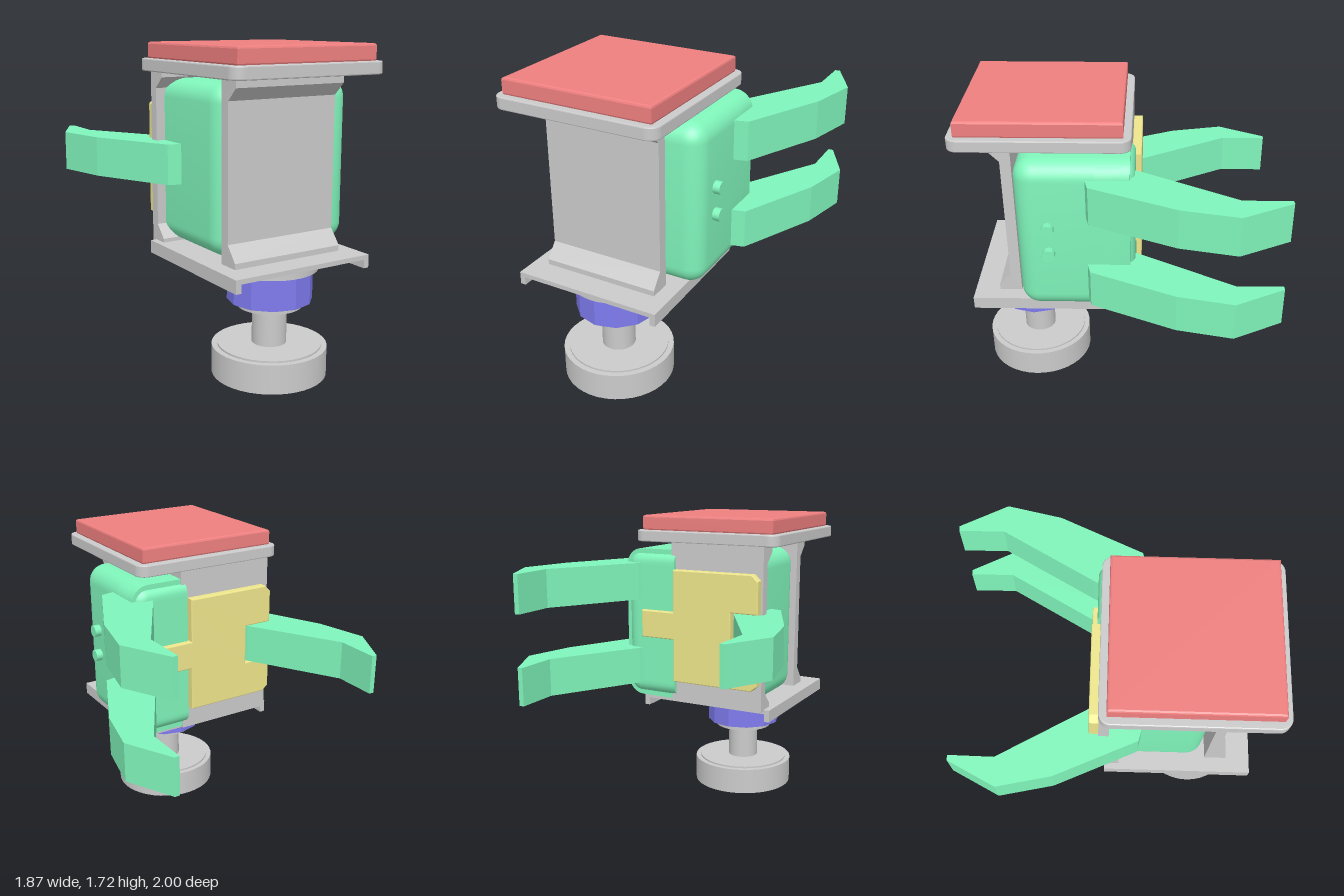
import * as THREE from 'three';
import { toCreasedNormals } from 'three/addons/utils/BufferGeometryUtils.js';
import { RoundedBoxGeometry } from 'three/addons/geometries/RoundedBoxGeometry.js';

const mat = (color, flatShading = false) => new THREE.MeshStandardMaterial({ color, flatShading });
const GREY = mat(0xcccccc), GREEN = mat(0x80f5bb), RED = mat(0xf08080);
const BLUE = mat(0x7f7cf0, true), YELLOW = mat(0xeee68c);

const shapeOf = pts => new THREE.Shape(pts.map(([x, y]) => new THREE.Vector2(x, y)));
const extrude = (shape, depth, bevel = 0) => new THREE.ExtrudeGeometry(shape, {
  depth: depth - 2 * bevel, bevelEnabled: bevel > 0, bevelSize: bevel, bevelThickness: bevel,
  bevelOffset: -bevel, bevelSegments: 2, curveSegments: 6,
});

function roundedRect(w, d, r) {
  const s = new THREE.Shape(), x = w / 2, y = d / 2;
  s.absarc(x - r, y - r, r, 0, Math.PI / 2);
  s.absarc(-x + r, y - r, r, Math.PI / 2, Math.PI);
  s.absarc(-x + r, -y + r, r, Math.PI, Math.PI * 1.5);
  s.absarc(x - r, -y + r, r, Math.PI * 1.5, Math.PI * 2);
  return s;
}

export function createModel() {
  const root = new THREE.Group();
  // The whole machine stands turned by 45 degrees: local -x is where the fingers point
  const unit = new THREE.Group();
  unit.name = 'gripperUnit';
  unit.position.set(0.315, 0, 0.375);
  unit.rotation.y = -Math.PI / 4;
  root.add(unit);

  const add = (name, geo, material, x = 0, y = 0, z = 0) => {
    const m = new THREE.Mesh(geo, material);
    m.name = name;
    m.position.set(x, y, z);
    unit.add(m);
    return m;
  };
  const box = (name, material, x0, x1, y0, y1, z0, z1) => add(name,
    new THREE.BoxGeometry(x1 - x0, y1 - y0, z1 - z0), material,
    (x0 + x1) / 2, (y0 + y1) / 2, (z0 + z1) / 2);
  const disc = (name, material, r, y0, y1, sides = 40) => add(name,
    new THREE.CylinderGeometry(r, r, y1 - y0, sides), material, 0.124, (y0 + y1) / 2, 0);

  // Foot, stem and coupling
  disc('footKnob', GREY, 0.305, 0, 0.155);
  disc('footCap', GREY, 0.275, 0.155, 0.165);
  disc('stem', GREY, 0.092, 0.165, 0.37, 24);
  disc('stemCollar', GREY, 0.172, 0.37, 0.405);
  disc('coupling', BLUE, 0.225, 0.405, 0.58, 12);
  disc('couplingFlange', GREY, 0.25, 0.575, 0.625);

  // Bottom channel plate with a lip along each side
  box('bottomPlate', GREY, -0.4225, 0.4225, 0.625, 0.65, -0.41, 0.41);
  for (const s of [-1, 1]) {
    const z = s * 0.395;
    box('bottomLip', GREY, -0.4225, 0.4225, 0.58, 0.63, z - 0.015, z + 0.015);
  }

  // Top plate and pad
  add('topPlate', extrude(roundedRect(0.925, 0.897, 0.06), 0.065, 0.006).rotateX(-Math.PI / 2),
    GREY, 0, 1.579, 0);
  add('topPad', extrude(shapeOf([[-0.4225, -0.41], [0.4225, -0.41], [0.4225, 0.41], [-0.4225, 0.41]]),
    0.09, 0.012).rotateX(-Math.PI / 2), RED, 0, 1.645, 0);

  // Front wall, flared outwards at both ends
  add('frontWall', extrude(shapeOf([[0.162, 0.65], [0.285, 0.65], [0.285, 0.68], [0.22, 0.76],
    [0.22, 1.46], [0.285, 1.525], [0.285, 1.575], [0.162, 1.575]]), 0.65), GREY, 0, 0, -0.325);
  // Back wall, flared inwards
  add('backWall', extrude(shapeOf([[-0.46, 0.64], [-0.34, 0.64], [-0.34, 0.67], [-0.405, 0.74],
    [-0.405, 1.48], [-0.34, 1.54], [-0.34, 1.575], [-0.46, 1.575]]), 0.575), GREY, 0, 0, -0.2);

  // Body: rounded box cut flat at the back
  const MID = -0.089;
  const body = new RoundedBoxGeometry(0.74, 0.88, 0.826, 5, 0.1);
  body.translate(-0.23, 1.093, MID);
  const p = body.attributes.position;
  for (let i = 0; i < p.count; i++) p.setX(i, Math.max(p.getX(i), -0.455));
  add('body', toCreasedNormals(body, 0.6), GREEN);
  // Flat jaw block at the two-finger side
  const jaw = new RoundedBoxGeometry(0.3, 0.87, 0.6, 4, 0.09);
  jaw.translate(-0.335, 1.093, -0.2);
  const q = jaw.attributes.position;
  for (let i = 0; i < q.count; i++) {
    q.setX(i, Math.min(Math.max(q.getX(i), -0.48), -0.28));
    q.setZ(i, Math.min(q.getZ(i), -0.17));
  }
  jaw.translate(0, 0, -0.002);
  add('jawBlock', toCreasedNormals(jaw, 0.6), GREEN);

  // Two side bolts
  for (const y of [1.02, 1.17])
    add('sideBolt', new THREE.CylinderGeometry(0.034, 0.034, 0.08, 12), GREEN, -0.03, y, -0.5)
      .rotation.x = Math.PI / 2;

  // Curved fingers: one plan outline, mirrored across the body's middle
  const outline = [[-0.44, 0.19], [-0.503, 0.22], [-0.997, 0.503], [-1.24, 0.5], [-1.242, 0.528],
    [-0.984, 0.661], [-0.692, 0.597], [-0.248, 0.395], [-0.22, 0.28]];
  const finger = (name, y0, y1, mirror) => {
    const pts = outline.map(([x, z]) => [x, -(mirror ? 2 * MID - z : z)]);
    add(name, extrude(shapeOf(pts), y1 - y0).rotateX(-Math.PI / 2), GREEN, 0, y0, 0);
  };
  finger('singleFinger', 0.985, 1.2, false);
  finger('lowerFinger', 0.735, 0.948, true);
  finger('upperFinger', 1.238, 1.452, true);

  // Palm plate with a tab between the paired fingers and a notch for the single one
  const palm = shapeOf([[-0.165, 0.77], [0.33, 0.77], [0.365, 0.8], [0.365, 0.98], [0.2, 0.98],
    [0.2, 1.205], [0.365, 1.205], [0.365, 1.39], [0.33, 1.425], [-0.165, 1.425],
    [-0.165, 1.18], [-0.375, 1.18], [-0.375, 1.02], [-0.165, 1.02]]);
  add('palmPlate', extrude(palm, 0.052, 0.006).rotateY(-Math.PI / 2), YELLOW, -0.464, 0, 0);

  return root;
}
